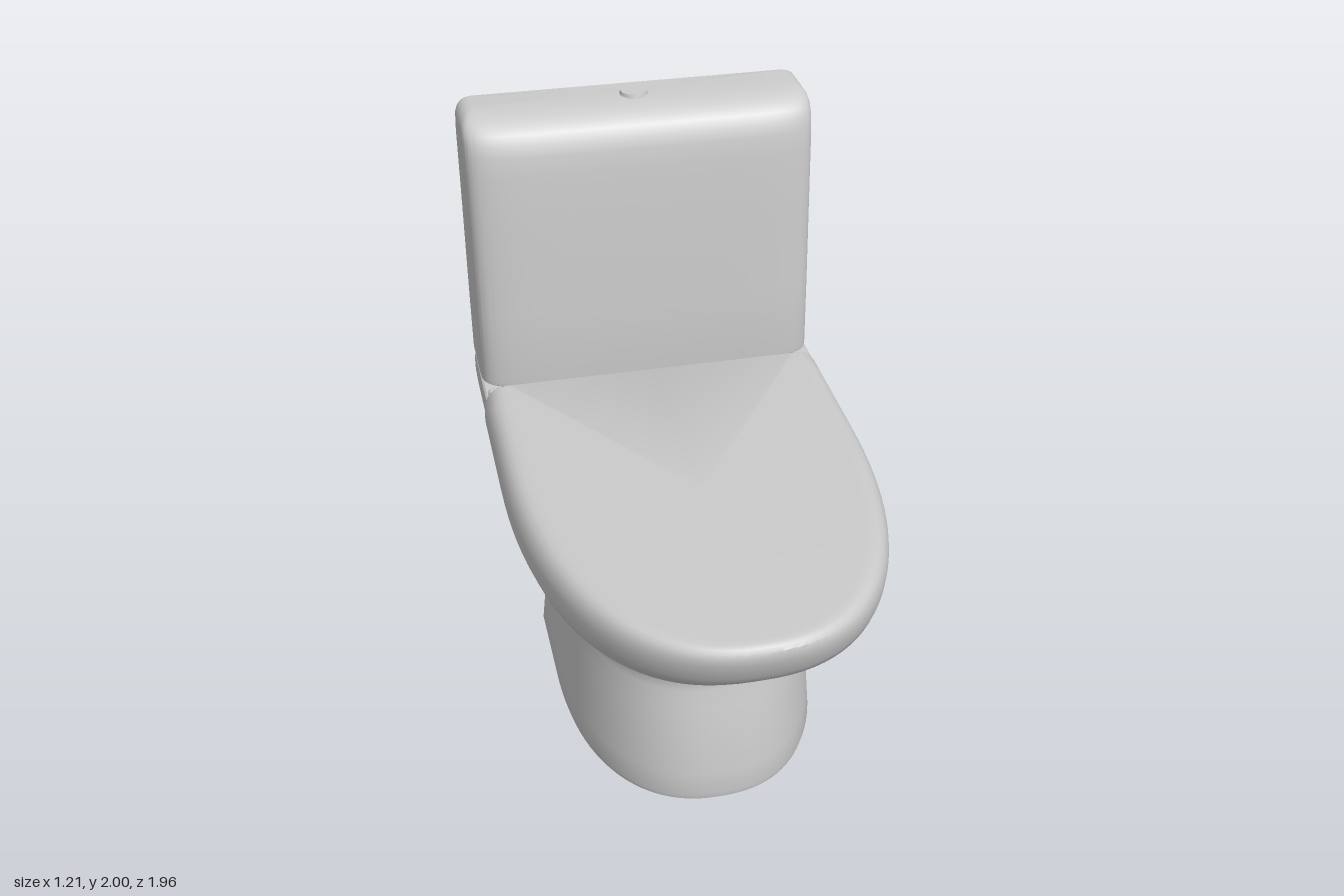
import * as THREE from 'three';
import { toCreasedNormals } from 'three/addons/utils/BufferGeometryUtils.js';
import { RoundedBoxGeometry } from 'three/addons/geometries/RoundedBoxGeometry.js';

const material = new THREE.MeshStandardMaterial({ color: 0xcccccc });

// D-shaped outline: superellipse nose, straight sides, flat back with rounded corners
function outline([y, w, zf, zb, zc, r], n) {
  const pts = [];
  const nose = 56, side = 4, corner = 6, back = 4;
  for (let i = 0; i <= nose; i++) {
    const a = (Math.PI * i) / nose, c = Math.cos(a), s = Math.max(0, Math.sin(a));
    pts.push([w * Math.sign(c) * Math.abs(c) ** (2 / n), y, zc + (zf - zc) * s ** (2 / n)]);
  }
  for (let i = 1; i < side; i++) pts.push([-w, y, zc + ((zb + r - zc) * i) / side]);
  for (let i = 0; i <= corner; i++) {
    const a = (Math.PI / 2) * (i / corner);
    pts.push([-w + r - r * Math.cos(a), y, zb + r - r * Math.sin(a)]);
  }
  for (let i = 1; i < back; i++) pts.push([(w - r) * ((2 * i) / back - 1), y, zb]);
  for (let i = corner; i >= 0; i--) {
    const a = (Math.PI / 2) * (i / corner);
    pts.push([w - r + r * Math.cos(a), y, zb + r - r * Math.sin(a)]);
  }
  for (let i = side - 1; i > 0; i--) pts.push([w, y, zc + ((zb + r - zc) * i) / side]);
  return pts;
}

// Closed solid through sections [y, halfWidth, zFront, zBack, zNoseStart, cornerRadius]
function loft(name, sections, n, bend = (x, y) => y) {
  const rings = sections.map((s) => outline(s, n));
  const m = rings[0].length, last = rings.length - 1;
  const pts = rings.flat();
  const index = [];
  for (let i = 0; i < last; i++) {
    for (let j = 0; j < m; j++) {
      const a = i * m + j, b = i * m + ((j + 1) % m);
      index.push(a, a + m, b, b, a + m, b + m);
    }
  }
  const bottom = pts.length, top = bottom + 1;
  for (const s of [sections[0], sections[last]]) pts.push([0, s[0], (s[2] + s[3]) / 2]);
  for (let j = 0; j < m; j++) {
    const k = (j + 1) % m;
    index.push(bottom, j, k, top, last * m + k, last * m + j);
  }
  const geometry = new THREE.BufferGeometry();
  const flat = pts.flatMap(([x, y, z]) => [x, bend(x, y, z), z]);
  geometry.setAttribute('position', new THREE.Float32BufferAttribute(flat, 3));
  geometry.setIndex(index);
  const mesh = new THREE.Mesh(toCreasedNormals(geometry, 0.6), material);
  mesh.name = name;
  return mesh;
}

export function createModel() {
  const group = new THREE.Group();
  group.name = 'toilet';

  // Pedestal flaring into the bowl
  group.add(loft('bowl', [
    [0.0, 0.425, 0.455, -0.615, -0.25, 0.04],
    [0.008, 0.442, 0.468, -0.622, -0.25, 0.04],
    [0.03, 0.448, 0.473, -0.622, -0.25, 0.04],
    [0.12, 0.441, 0.467, -0.608, -0.25, 0.04],
    [0.25, 0.431, 0.453, -0.588, -0.25, 0.04],
    [0.38, 0.419, 0.432, -0.567, -0.25, 0.04],
    [0.45, 0.413, 0.418, -0.555, -0.25, 0.04],
    [0.485, 0.413, 0.414, -0.55, -0.25, 0.04],
    [0.51, 0.42, 0.423, -0.556, -0.25, 0.045],
    [0.54, 0.432, 0.45, -0.58, -0.24, 0.05],
    [0.58, 0.45, 0.497, -0.63, -0.23, 0.06],
    [0.63, 0.476, 0.562, -0.71, -0.22, 0.07],
    [0.68, 0.505, 0.63, -0.785, -0.21, 0.08],
    [0.74, 0.541, 0.71, -0.85, -0.2, 0.08],
    [0.8, 0.569, 0.785, -0.905, -0.2, 0.08],
    [0.86, 0.588, 0.852, -0.95, -0.2, 0.07],
    [0.9, 0.596, 0.894, -0.97, -0.2, 0.06],
    [0.925, 0.598, 0.915, -0.977, -0.2, 0.05],
  ], 2.3));

  // Raised shelf carrying the tank
  group.add(loft('tankShelf', [
    [0.91, 0.597, -0.6, -0.973, -0.605, 0.05],
    [0.95, 0.6, -0.6, -0.98, -0.605, 0.04],
    [1.0, 0.6, -0.6, -0.98, -0.605, 0.04],
    [1.012, 0.597, -0.6, -0.978, -0.605, 0.04],
    [1.018, 0.59, -0.6, -0.972, -0.605, 0.04],
  ], 2));

  // Hinge strip behind the lid
  const hinge = new THREE.Mesh(new RoundedBoxGeometry(1.17, 0.06, 0.07, 3, 0.012), material);
  hinge.name = 'hingeStrip';
  hinge.position.set(0, 1.005, -0.625);
  group.add(hinge);

  // Seat and lid, top falling gently toward the hinge
  group.add(loft('lid', [
    [0.922, 0.6, 0.917, -0.612, -0.2, 0.012],
    [0.928, 0.606, 0.925, -0.615, -0.2, 0.012],
    [0.96, 0.607, 0.945, -0.615, -0.2, 0.012],
    [1.0, 0.605, 0.963, -0.615, -0.2, 0.012],
    [1.03, 0.6, 0.973, -0.615, -0.2, 0.012],
    [1.055, 0.589, 0.978, -0.615, -0.2, 0.012],
    [1.074, 0.576, 0.976, -0.615, -0.2, 0.012],
    [1.086, 0.558, 0.966, -0.614, -0.2, 0.012],
    [1.091, 0.54, 0.95, -0.612, -0.2, 0.012],
    [1.092, 0.52, 0.93, -0.61, -0.2, 0.012],
  ], 2.35, (x, y, z) => y - 0.028 * ((0.98 - z) / 1.6) * ((y - 0.92) / 0.17)));

  // Tank with rounded front edges and flat back
  group.add(loft('tank', [
    [1.018, 0.592, -0.664, -0.975, -0.9, 0.008],
    [1.024, 0.597, -0.657, -0.978, -0.9, 0.008],
    [1.04, 0.598, -0.655, -0.978, -0.9, 0.008],
    [1.3, 0.598, -0.664, -0.978, -0.9, 0.008],
    [1.6, 0.597, -0.676, -0.978, -0.9, 0.008],
    [1.8, 0.597, -0.686, -0.978, -0.9, 0.008],
    [1.87, 0.597, -0.693, -0.978, -0.9, 0.008],
    [1.91, 0.596, -0.703, -0.978, -0.9, 0.008],
    [1.94, 0.594, -0.72, -0.978, -0.9, 0.008],
    [1.96, 0.588, -0.742, -0.978, -0.9, 0.008],
    [1.975, 0.577, -0.772, -0.978, -0.9, 0.008],
    [1.984, 0.563, -0.81, -0.977, -0.9, 0.008],
    [1.988, 0.545, -0.85, -0.975, -0.9, 0.008],
  ], 7));

  // Flush button
  const button = new THREE.Mesh(new THREE.CylinderGeometry(0.045, 0.05, 0.02, 32), material);
  button.name = 'flushButton';
  button.position.set(0, 1.99, -0.88);
  group.add(button);

  return group;
}
